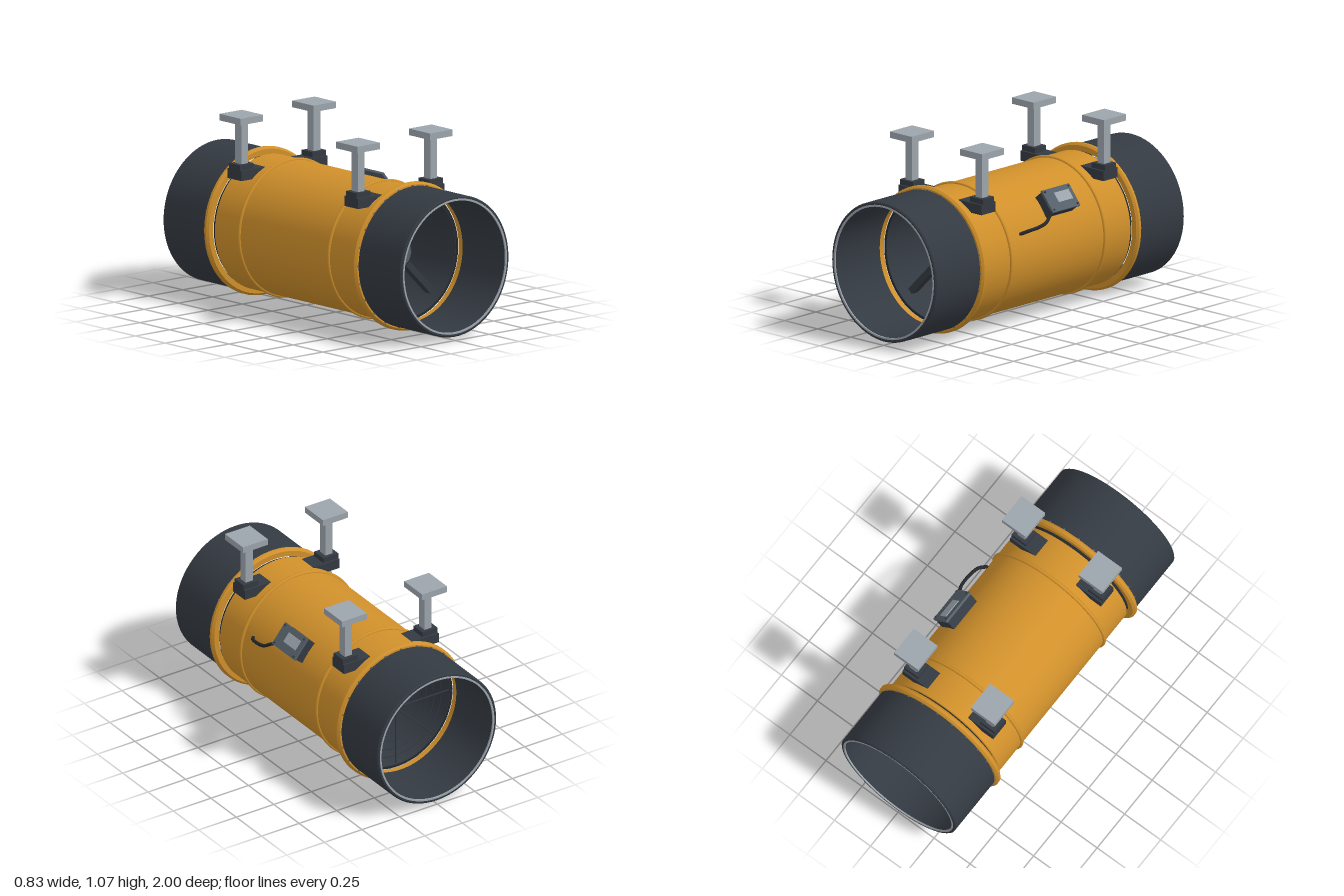
import * as THREE from 'three';
import { toCreasedNormals, mergeGeometries } from 'three/addons/utils/BufferGeometryUtils.js';

const AXIS_Y = 0.417;
const mat = (name, color, side = THREE.FrontSide) => {
  const m = new THREE.MeshStandardMaterial({ color, side });
  m.name = name;
  return m;
};

export function createModel() {
  const orange = mat('orange paint', 0xd0902b);
  const dark = mat('dark rubber', 0x343a42);
  const black = mat('black cable', 0x24282c);
  const slate = mat('slate metal', 0x55606a);
  const steel = mat('light steel', 0x9ca5ac);
  const blade = mat('blade grey', 0x98a4a9, THREE.DoubleSide);

  const root = new THREE.Group();
  root.name = 'ductFan';
  const fan = new THREE.Group();
  fan.name = 'fanAssembly';
  fan.position.y = AXIS_Y;
  root.add(fan);

  const add = (parent, name, geo, material, x = 0, y = 0, z = 0) => {
    const m = new THREE.Mesh(geo, material);
    m.name = name;
    m.position.set(x, y, z);
    parent.add(m);
    return m;
  };
  const box = (w, h, d) => new THREE.BoxGeometry(w, h, d);
  // Surface of revolution about z from [radius, z] points
  const turned = (pts, segs = 72) => toCreasedNormals(
    new THREE.LatheGeometry(pts.map(p => new THREE.Vector2(...p)), segs).rotateX(Math.PI / 2), 0.6);
  // Hollow ring with slightly chamfered outer edges
  const pipe = (ro, ri, z0, z1, c = 0.004) => turned([
    [ri, z0], [ro - c, z0], [ro, z0 + c], [ro, z1 - c], [ro - c, z1], [ri, z1], [ri, z0]]);

  // Casing and its dark lining
  add(fan, 'casing', pipe(0.38, 0.362, -0.585, 0.585), orange);
  add(fan, 'liner', pipe(0.364, 0.352, -0.602, 0.602, 0.001), dark);

  for (const s of [-1, 1]) {
    const span = (a, b) => (s > 0 ? [a, b] : [-b, -a]);
    add(fan, 'gasket', pipe(0.368, 0.355, ...span(0.58, 0.605), 0.001), black);
    add(fan, 'flange', pipe(0.4165, 0.373, ...span(0.602, 0.641), 0.012), orange);
    add(fan, 'sleeve', pipe(0.397, 0.371, ...span(0.638, 0.999), 0.007), dark);
    add(fan, 'sleeveRim', pipe(0.381, 0.37, ...span(0.992, 1), 0.001), steel);
    add(fan, 'casingBead', new THREE.TorusGeometry(0.381, 0.011, 10, 72), orange, 0, 0, s * 0.375);

    // Small bolts around each flange
    const bolts = [];
    for (let i = 0; i < 24; i++) {
      const a = (i / 24) * Math.PI * 2;
      bolts.push(new THREE.CylinderGeometry(0.007, 0.007, 0.012, 6).rotateX(Math.PI / 2)
        .translate(Math.cos(a) * 0.396, Math.sin(a) * 0.396, s * 0.643));
    }
    add(fan, 'flangeBolts', mergeGeometries(bolts), slate);
  }

  // Motor with rounded front cover and tabs
  add(fan, 'motor', turned([[0, -0.14], [0.1, -0.14], [0.105, -0.13], [0.105, 0.5],
    [0.095, 0.525], [0.074, 0.54], [0, 0.54]], 40), dark);
  add(fan, 'motorCover', turned([[0, 0.538], [0.073, 0.538], [0.073, 0.545], [0, 0.545]], 40), slate);
  for (let i = 0; i < 8; i++) {
    const a = (i + 0.5) * Math.PI / 4;
    add(fan, 'motorTab', box(0.016, 0.022, 0.03), slate, Math.cos(a) * 0.107, Math.sin(a) * 0.107, 0.47)
      .rotation.z = a;
  }

  // Diagonal motor struts
  for (let i = 0; i < 4; i++) {
    const a = Math.PI / 4 + i * Math.PI / 2;
    add(fan, 'motorStrut', box(0.27, 0.036, 0.05), dark, Math.cos(a) * 0.222, Math.sin(a) * 0.222, 0.5)
      .rotation.z = a;
  }

  // Impeller: hub and eight swept, pitched blades
  const impeller = new THREE.Group();
  impeller.name = 'impeller';
  impeller.position.z = -0.2;
  fan.add(impeller);
  add(impeller, 'hub', turned([[0, -0.09], [0.08, -0.09], [0.11, -0.06], [0.11, 0.06], [0, 0.06]], 40), slate);
  const bladeGeo = new THREE.PlaneGeometry(1, 1, 8, 12);
  const pos = bladeGeo.attributes.position;
  for (let i = 0; i < pos.count; i++) {
    const u = pos.getX(i) * 2, s = pos.getY(i) + 0.5;
    const half = THREE.MathUtils.degToRad(23 - 10 * s);
    const a = THREE.MathUtils.degToRad(9 + 19 * s) + u * half;
    const r = 0.1 + s * (0.241 - 0.007 * (u + 1));
    pos.setXYZ(i, r * Math.cos(a), r * Math.sin(a), u * half * r * (0.85 - 0.3 * s) - 0.012 * u * u);
  }
  bladeGeo.computeVertexNormals();
  for (let i = 0; i < 8; i++) add(impeller, 'blade', bladeGeo, blade).rotation.z = i * Math.PI / 4;

  // Rear wire guard
  const wires = [];
  for (let r = 0.06; r < 0.34; r += 0.0485) wires.push(new THREE.TorusGeometry(r, 0.0032, 5, 48));
  for (let i = 0; i < 4; i++) {
    wires.push(new THREE.CylinderGeometry(0.0045, 0.0045, 0.72, 6).rotateZ(i * Math.PI / 4));
  }
  add(fan, 'rearGuard', mergeGeometries(wires), dark, 0, 0, -0.59);

  // Hangers: cross strap, clamp blocks, posts and ceiling plates
  for (const z of [-0.49, 0.49]) {
    add(root, 'hangerStrap', box(0.63, 0.057, 0.115), dark, 0, 0.7415, z);
    for (const s of [-1, 1]) {
      add(root, 'hangerClamp', box(0.1, 0.035, 0.09), dark, s * 0.265, 0.7825, z);
      add(root, 'hangerPost', box(0.048, 0.25, 0.053), steel, s * 0.265, 0.92, z);
      add(root, 'ceilingPlate', box(0.165, 0.037, 0.178), steel, s * 0.266, 1.056, z);
    }
  }

  // Junction box, tilted to sit on the casing
  const junction = new THREE.Group();
  junction.name = 'junctionBox';
  junction.rotation.z = THREE.MathUtils.degToRad(39);
  fan.add(junction);
  add(junction, 'boxBody', box(0.07, 0.13, 0.208), dark, 0.4, 0, -0.058);
  add(junction, 'boxLid', box(0.014, 0.14, 0.218), slate, 0.441, 0, -0.058);
  add(junction, 'boxLabel', box(0.006, 0.06, 0.115), steel, 0.45, 0.008, -0.08);
  for (const y of [-0.056, 0.056]) for (const z of [-0.152, 0.036]) {
    add(junction, 'lidScrew', new THREE.CylinderGeometry(0.006, 0.006, 0.008, 8).rotateZ(Math.PI / 2),
      dark, 0.45, y, z);
  }

  // Supply cable
  const path = new THREE.CatmullRomCurve3([
    [0.36, 0.65, 0.03], [0.385, 0.63, 0.07], [0.4, 0.6, 0.12], [0.4, 0.585, 0.19],
    [0.39, 0.578, 0.24], [0.362, 0.562, 0.28]].map(p => new THREE.Vector3(...p)));
  add(root, 'cable', new THREE.TubeGeometry(path, 32, 0.01, 8), black);
  for (const t of [0, 1]) {
    const p = path.getPoint(t);
    add(root, 'cableGland', new THREE.SphereGeometry(0.01, 8, 6), black, p.x, p.y, p.z);
  }
  return root;
}
